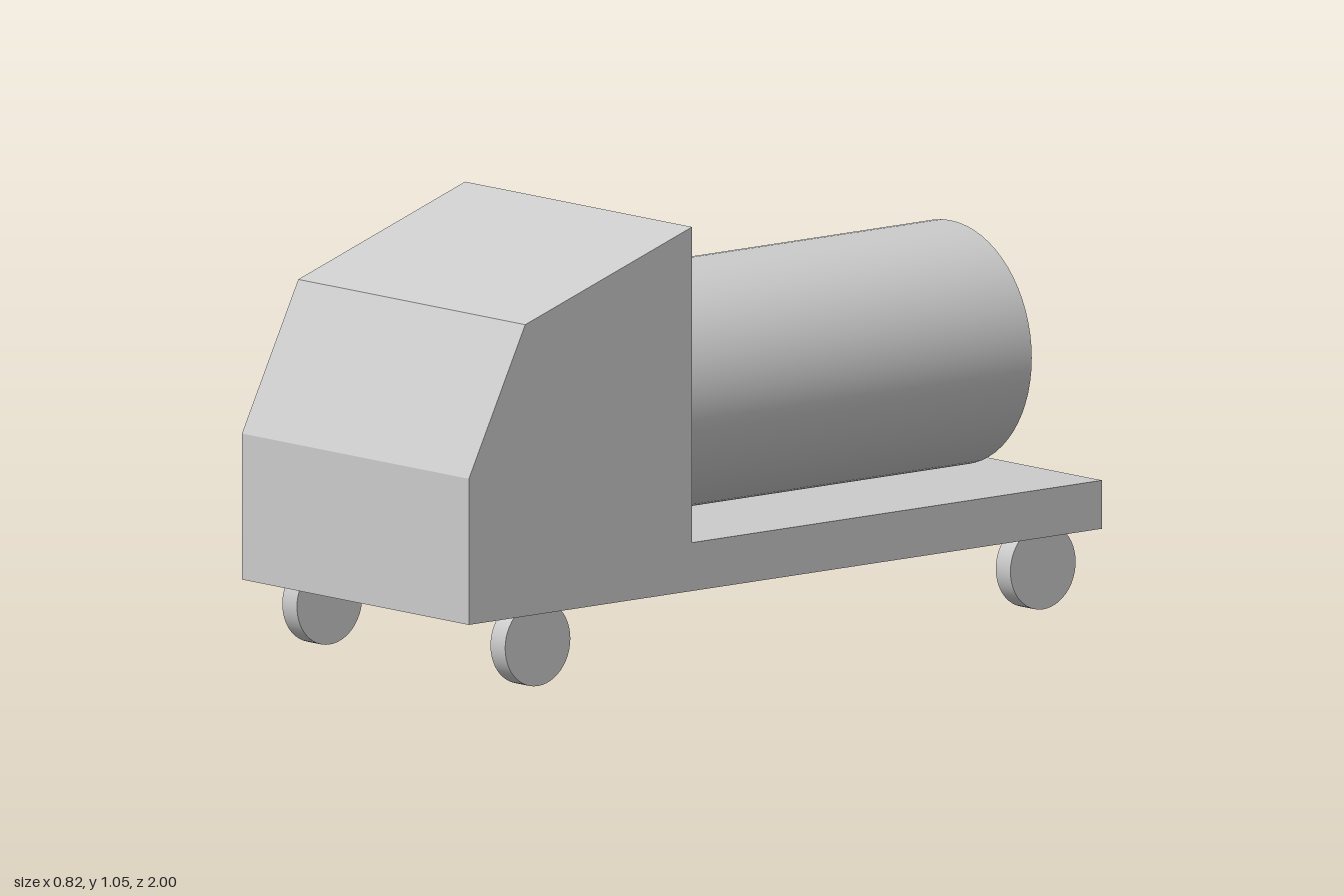
import * as THREE from 'three';

export function createModel() {
  const group = new THREE.Group();
  const material = new THREE.MeshStandardMaterial({ color: 0xcccccc });
  const add = (name, geometry, x = 0, y = 0, z = 0) => {
    const mesh = new THREE.Mesh(geometry, material);
    mesh.name = name;
    mesh.position.set(x, y, z);
    group.add(mesh);
  };

  // Cab and flat bed: one side profile (z, y) extruded across the width
  const width = 0.822;
  const profile = new THREE.Shape([
    [-1, 0.175], [1, 0.175], [1, 0.528], [0.822, 0.88],
    [0.295, 1.055], [0.295, 0.292], [-1, 0.292],
  ].map(([z, y]) => new THREE.Vector2(z, y)));
  const body = new THREE.ExtrudeGeometry(profile, { depth: width, bevelEnabled: false });
  body.rotateY(-Math.PI / 2).translate(width / 2, 0, 0);
  add('cabAndBed', body);

  // Tank lying on the bed against the cab's rear wall
  const tankRadius = 0.294, tankLength = 1.175;
  const tank = new THREE.CylinderGeometry(tankRadius, tankRadius, tankLength, 64).rotateX(Math.PI / 2);
  add('tank', tank, 0, 0.292 + tankRadius, 0.295 - tankLength / 2);

  // Four small disc wheels
  const wheelRadius = 0.103;
  const wheel = new THREE.CylinderGeometry(wheelRadius, wheelRadius, 0.053, 48).rotateZ(Math.PI / 2);
  for (const [end, z] of [['front', 0.776], ['rear', -0.82]]) {
    for (const [side, sign] of [['Left', 1], ['Right', -1]]) {
      add(`${end}${side}Wheel`, wheel, sign * 0.377, wheelRadius, z);
    }
  }
  return group;
}
